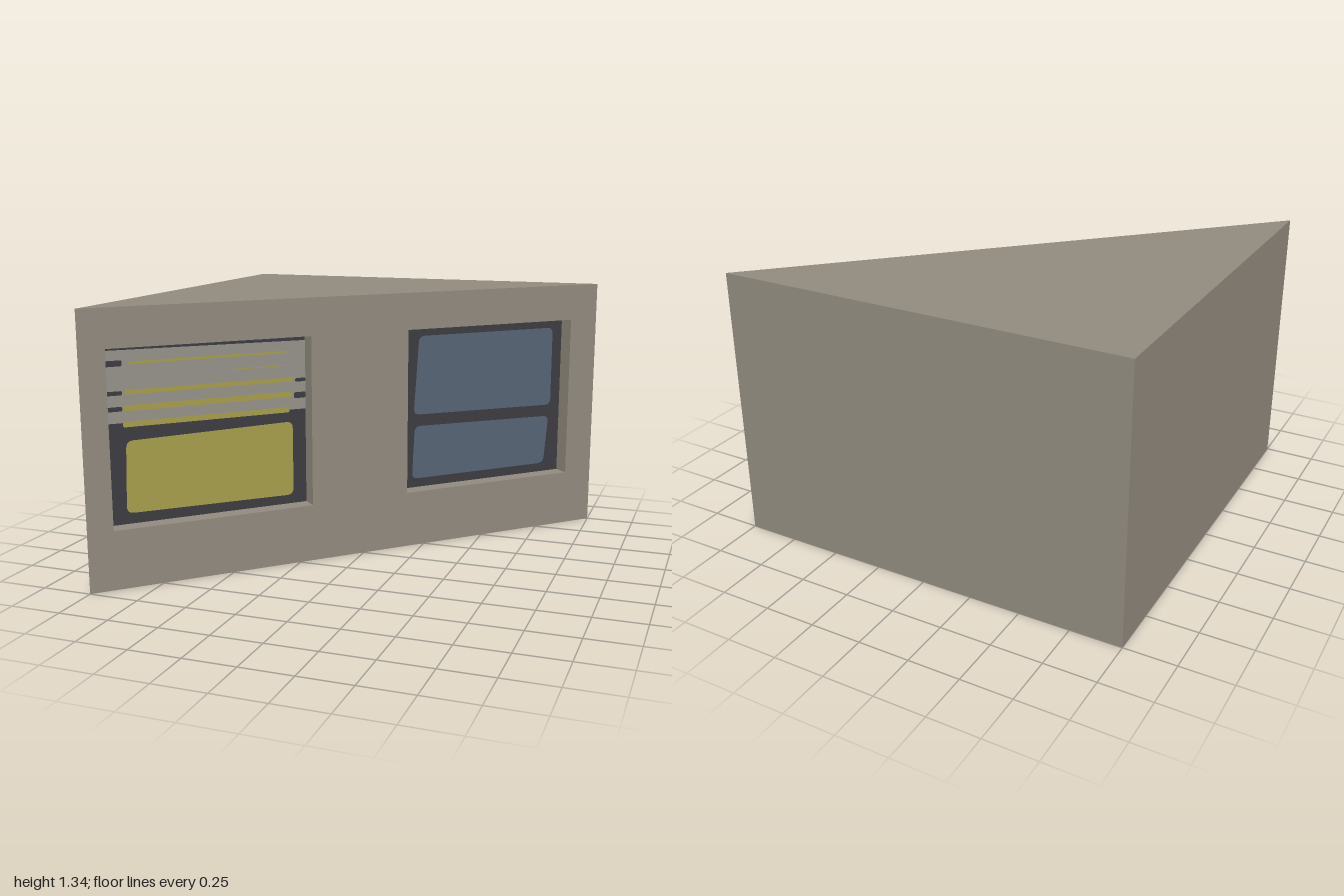
import * as THREE from 'three';

const H = 1.335, S = Math.SQRT2;      // height; stretch from x to distance along the diagonal wall
const DEPTH = 0.06 * S;               // window recess
const Y0 = 0.29, Y1 = 1.147;          // window opening, bottom and top

const mat = (name, color) => {
  const m = new THREE.MeshStandardMaterial({ color });
  m.name = name;
  return m;
};

export function createModel() {
  const wall = mat('wall stone', 0x918a7d);
  const frameMat = mat('dark frame', 0x3c3b41);
  const glassMat = mat('blue glass', 0x556374);
  const lightMat = mat('lit yellow glass', 0xa69d4c);
  const blindMat = mat('blind grey', 0x95908a);

  const model = new THREE.Group();
  model.name = 'cornerBuilding';
  const add = (parent, name, geo, material) => {
    const mesh = new THREE.Mesh(geo, material);
    mesh.name = name;
    parent.add(mesh);
    return mesh;
  };

  // Straight back and side walls
  const back = add(model, 'backWall', new THREE.PlaneGeometry(2, H), wall);
  back.position.set(0, H / 2, -1);
  back.rotation.y = Math.PI;
  const side = add(model, 'sideWall', new THREE.PlaneGeometry(2, H), wall);
  side.position.set(-1, H / 2, 0);
  side.rotation.y = -Math.PI / 2;

  // Triangular roof and floor
  const tri = (pts) => new THREE.ShapeGeometry(new THREE.Shape(pts.map(([x, y]) => new THREE.Vector2(x, y))));
  const roof = add(model, 'roof', tri([[-1, 1], [-1, -1], [1, 1]]), wall);
  roof.rotation.x = -Math.PI / 2;
  roof.position.y = H;
  const floor = add(model, 'floor', tri([[-1, -1], [1, -1], [-1, 1]]), wall);
  floor.rotation.x = Math.PI / 2;

  // Diagonal facade: local x runs along the wall, local z points out of it
  const facade = new THREE.Group();
  facade.name = 'facade';
  facade.rotation.y = Math.PI / 4;
  model.add(facade);

  const rect = (Type, x0, y0, x1, y1) => new Type([[x0, y0], [x1, y0], [x1, y1], [x0, y1]]
    .map(([x, y]) => new THREE.Vector2(x * S, y)));
  const windows = [{ name: 'litWindow', x: -0.912, w: 0.712 }, { name: 'blueWindow', x: 0.178, w: 0.705 }];
  const wallShape = rect(THREE.Shape, -1, 0, 1, H);
  windows.forEach(({ x, w }) => wallShape.holes.push(rect(THREE.Path, x, Y0, x + w, Y1)));
  add(facade, 'facadeWall', new THREE.ShapeGeometry(wallShape), wall);

  // Flat plate with softened corners; corners run counter-clockwise
  const plate = (parent, name, corners, z, material, r = 0.035) => {
    const p = corners.map(([x, y]) => new THREE.Vector2(x * S, y));
    const shape = new THREE.Shape();
    p.forEach((c, i) => {
      const towards = (q) => c.clone().add(q.clone().sub(c).setLength(Math.min(r, c.distanceTo(q) / 2)));
      const a = towards(p[(i + p.length - 1) % p.length]);
      const b = towards(p[(i + 1) % p.length]);
      if (i) shape.lineTo(a.x, a.y); else shape.moveTo(a.x, a.y);
      shape.quadraticCurveTo(c.x, c.y, b.x, b.y);
    });
    shape.closePath();
    add(parent, name, new THREE.ShapeGeometry(shape, 5), material).position.z = z;
  };
  const box = (x0, y0, x1, y1) => [[x0, y0], [x1, y0], [x1, y1], [x0, y1]];

  // Recess with four reveals and a dark frame at the back
  const [lit, blue] = windows.map(({ name, x, w }) => {
    const g = new THREE.Group();
    g.name = name;
    g.position.x = x * S;
    facade.add(g);
    const h = Y1 - Y0, W = w * S, my = (Y0 + Y1) / 2;
    const reveal = (part, pw, ph, px, py, rx, ry) => {
      const m = add(g, part, new THREE.PlaneGeometry(pw, ph), wall);
      m.position.set(px, py, -DEPTH / 2);
      m.rotation.set(rx, ry, 0);
    };
    reveal('sill', W, DEPTH, W / 2, Y0, -Math.PI / 2, 0);
    reveal('lintel', W, DEPTH, W / 2, Y1, Math.PI / 2, 0);
    reveal('jambRight', DEPTH, h, 0, my, 0, Math.PI / 2);
    reveal('jambLeft', DEPTH, h, W, my, 0, -Math.PI / 2);
    add(g, 'frame', new THREE.PlaneGeometry(W, h), frameMat).position.set(W / 2, my, -DEPTH);
    return g;
  });
  const Z1 = -DEPTH + 0.003, Z2 = -DEPTH + 0.006;

  // Blue window panes
  plate(blue, 'upperPane', [[0.055, 0.685], [0.662, 0.668], [0.662, 1.098], [0.075, 1.1]], Z1, glassMat);
  plate(blue, 'lowerPane', [[0.05, 0.338], [0.638, 0.338], [0.655, 0.605], [0.06, 0.623]], Z1, glassMat);

  // Lit window: lower pane and half-drawn blind
  plate(lit, 'lowerPane', [[0.06, 0.343], [0.662, 0.335], [0.662, 0.713], [0.068, 0.695]], Z1, lightMat);
  plate(lit, 'blind', [[0, 0.783], [0.712, 0.773], [0.712, 1.118], [0, 1.127]], Z1, blindMat, 0.002);

  // Light between the slats: x0, x1, y, height
  [
    [0.085, 0.64, 1.065, 0.012], [0.44, 0.64, 0.998, 0.005],
    [0.07, 0.665, 0.927, 0.022], [0.065, 0.66, 0.852, 0.028], [0.06, 0.65, 0.775, 0.027],
  ].forEach(([a, b, y, t]) => plate(lit, 'slatGap', box(a, y - t / 2, b, y + t / 2), Z2, lightMat, 0.01));

  // Dark notches at the slat ends
  [
    [0, 0.065, 1.065, 0.028], [0, 0.062, 0.925, 0.02], [0, 0.06, 0.85, 0.022],
    [0.672, 0.712, 0.922, 0.018], [0.667, 0.712, 0.845, 0.03],
  ].forEach(([a, b, y, t]) => plate(lit, 'slatNotch', box(a, y - t / 2, b, y + t / 2), Z2, frameMat, 0.01));

  return model;
}
